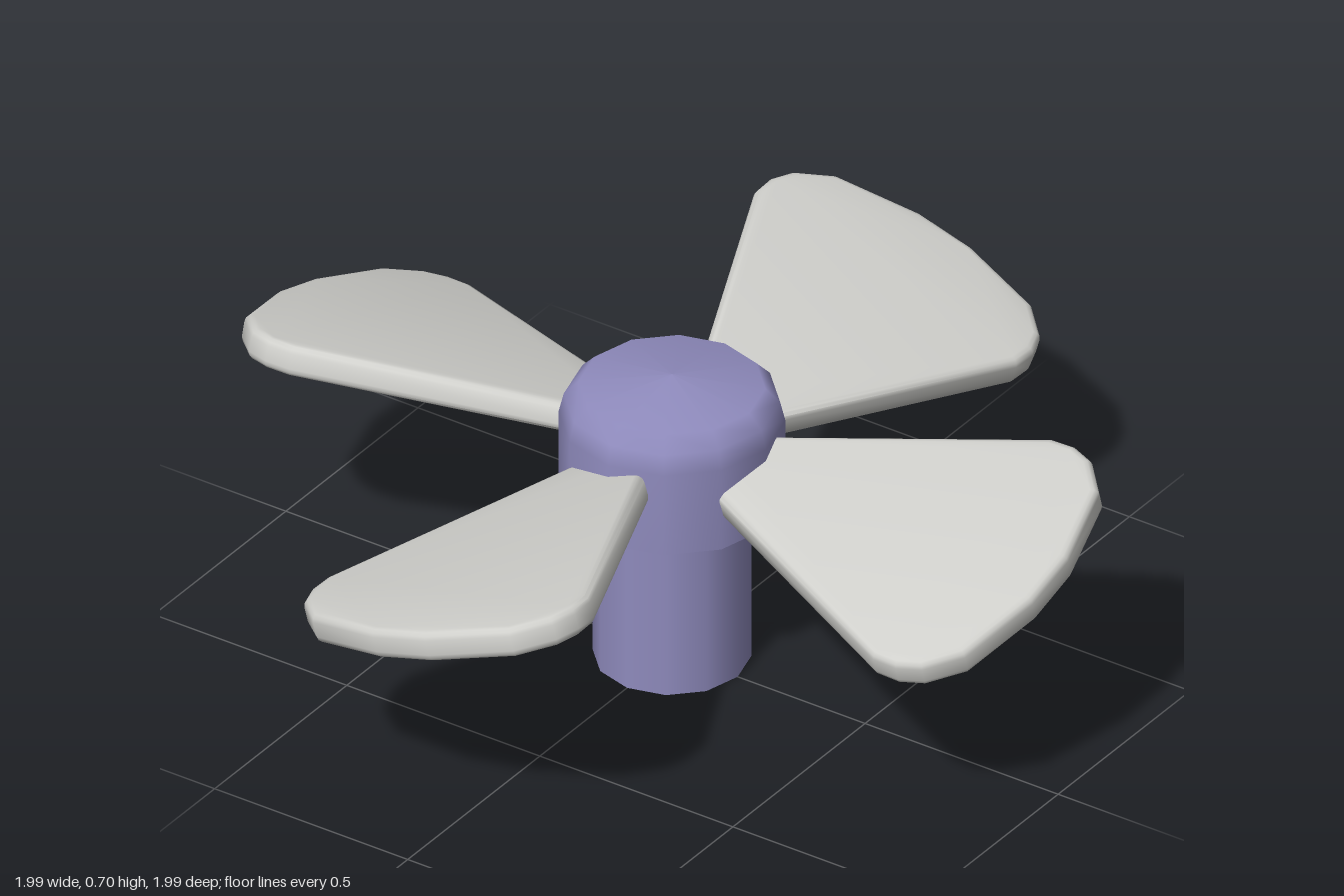
import * as THREE from 'three';
import { toCreasedNormals } from 'three/addons/utils/BufferGeometryUtils.js';

const SIDES = 12;
const TILT = 0.28;

// One blade lying along +z: a rounded fan shape, pitched about its length
function bladeGeometry() {
  const half = [[0.055, 0.1], [0.353, 0.77], [0.355, 0.83], [0.335, 0.885], [0.265, 0.95], [0.07, 0.997]];
  const outline = [...half, ...half.map(([x, y]) => [-x, y]).reverse()];
  const shape = new THREE.Shape(outline.map(([x, y]) => new THREE.Vector2(x, y)));
  const bevel = 0.018, thickness = 0.07;
  const geometry = new THREE.ExtrudeGeometry(shape, {
    depth: thickness - 2 * bevel,
    bevelThickness: bevel,
    bevelSize: bevel,
    bevelOffset: -bevel,
    bevelSegments: 3,
  });
  geometry.translate(0, 0, bevel - thickness / 2);
  geometry.rotateX(Math.PI / 2);
  geometry.rotateZ(TILT);
  geometry.translate(-0.02, 0.53, 0);
  return toCreasedNormals(geometry, 0.85);
}

export function createModel() {
  const model = new THREE.Group();
  const purple = new THREE.MeshStandardMaterial({ color: 0x8f8bbd });
  purple.name = 'muted purple';
  const grey = new THREE.MeshStandardMaterial({ color: 0xd0d0cc });
  grey.name = 'light grey';

  const add = (name, geometry, material) => {
    const mesh = new THREE.Mesh(geometry, material);
    mesh.name = name;
    model.add(mesh);
    return mesh;
  };

  // Shaft
  add('shaft', new THREE.CylinderGeometry(0.17, 0.17, 0.41, SIDES).translate(0, 0.205, 0), purple);

  // Hub with a shallow domed cap and a flat underside
  const profile = [[0.243, 0.4], [0.243, 0.6], [0.232, 0.645], [0.2, 0.678], [0, 0.705]];
  add('hub', new THREE.LatheGeometry(profile.map(([x, y]) => new THREE.Vector2(x, y)), SIDES), purple);
  add('hubUnderside', new THREE.CircleGeometry(0.243, SIDES).rotateX(Math.PI / 2).translate(0, 0.4, 0), purple);

  // Four blades
  const blade = bladeGeometry();
  for (let i = 0; i < 4; i++) {
    add('blade' + (i + 1), blade, grey).rotation.y = i * Math.PI / 2;
  }
  return model;
}
